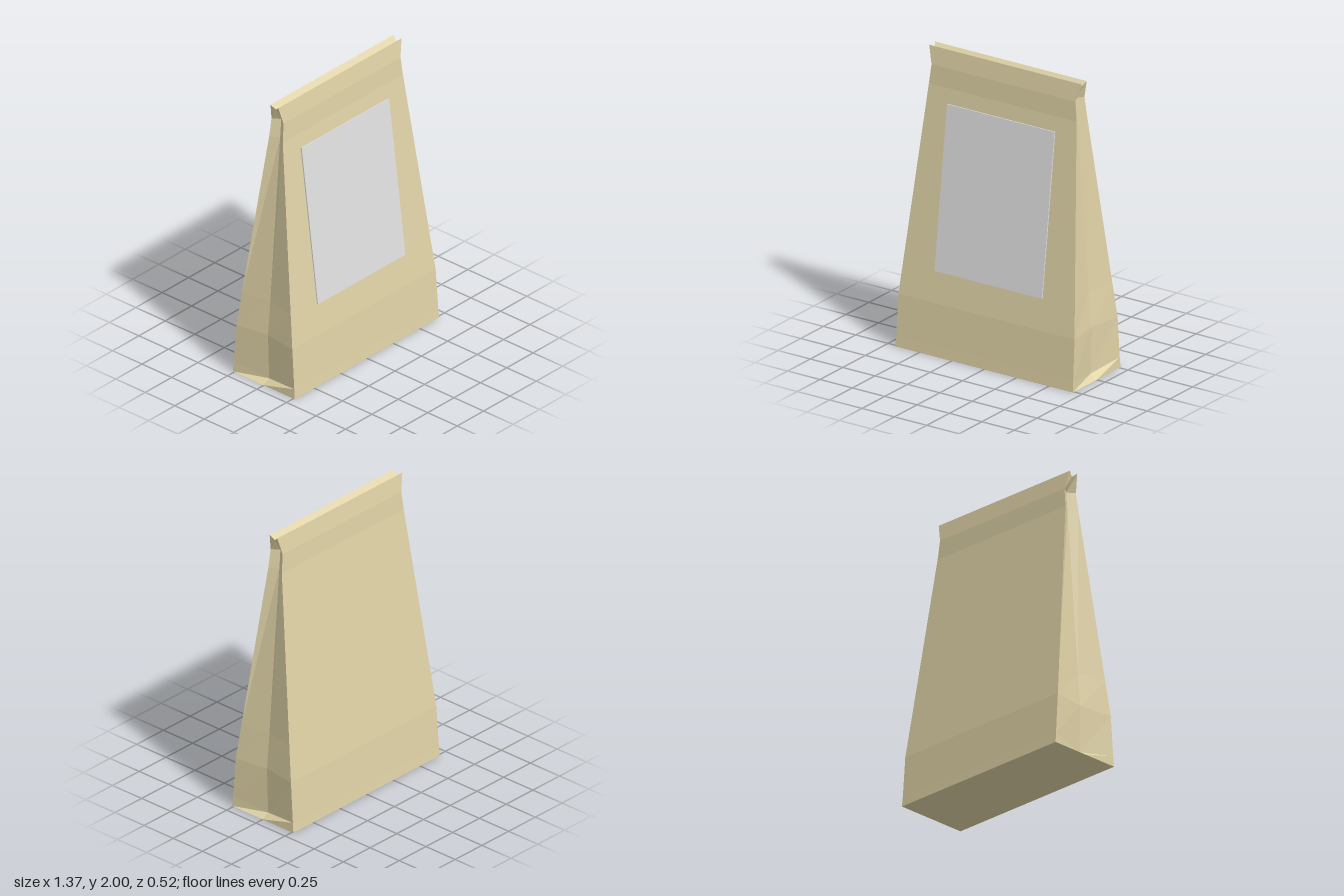
import * as THREE from 'three';

// Cross-sections from the base up:
// corner height, half width, half depth, gusset crease height, gusset crease x
const SECTIONS = [
  [0, 0.685, 0.262, 0, 0.685],
  [0.07, 0.683, 0.256, 0.03, 0.635],
  [0.35, 0.68, 0.237, 0.35, 0.645],
  [0.59, 0.661, 0.206, 0.59, 0.623],
  [1.75, 0.57, 0.058, 1.75, 0.53],
  [1.88, 0.555, 0.051, 1.88, 0.52],
  [2, 0.585, 0.033, 1.97, 0.57],
];

// Six points per section, anticlockwise from above, with a crease on each side
function ring([y, w, d, creaseY, creaseX]) {
  return [
    [w, y, d], [creaseX, creaseY, 0], [w, y, -d],
    [-w, y, -d], [-creaseX, creaseY, 0], [-w, y, d],
  ];
}

function quad(out, a, b, c, d) {
  out.push(...a, ...b, ...c, ...a, ...c, ...d);
}

function facetedMesh(name, positions, material) {
  const geometry = new THREE.BufferGeometry();
  geometry.setAttribute('position', new THREE.Float32BufferAttribute(positions, 3));
  geometry.computeVertexNormals();
  const mesh = new THREE.Mesh(geometry, material);
  mesh.name = name;
  return mesh;
}

export function createModel() {
  const group = new THREE.Group();
  group.name = 'paperBag';
  const paper = new THREE.MeshStandardMaterial({ color: 0xdfd2a6 });
  paper.name = 'tan paper';
  const white = new THREE.MeshStandardMaterial({ color: 0xdfdfdf });
  white.name = 'pale label';

  // Walls with folded side gussets
  const rings = SECTIONS.map(ring);
  const walls = [];
  for (let i = 0; i < rings.length - 1; i++) {
    for (let j = 0; j < 6; j++) {
      const k = (j + 1) % 6;
      quad(walls, rings[i][j], rings[i][k], rings[i + 1][k], rings[i + 1][j]);
    }
  }
  group.add(facetedMesh('bagWalls', walls, paper));

  // Flat base
  const b = rings[0];
  const base = [];
  quad(base, b[5], b[4], b[1], b[0]);
  quad(base, b[4], b[3], b[2], b[1]);
  group.add(facetedMesh('bagBase', base, paper));

  // Shallow V between the two lips of the mouth
  const t = rings[rings.length - 1];
  const mouth = [];
  quad(mouth, t[0], t[1], t[4], t[5]);
  quad(mouth, t[1], t[2], t[3], t[4]);
  group.add(facetedMesh('bagMouth', mouth, paper));

  // Thin label lying on the sloping front
  const low = new THREE.Vector2(0.209, 0.56);
  const high = new THREE.Vector2(0.071, 1.65);
  const slope = Math.atan2(low.x - high.x, high.y - low.y);
  const thickness = 0.009;
  const label = new THREE.Mesh(new THREE.BoxGeometry(0.83, low.distanceTo(high), thickness), white);
  label.name = 'frontLabel';
  label.rotation.x = -slope;
  label.position.set(0, (low.y + high.y) / 2, (low.x + high.x) / 2 + thickness / 2);
  group.add(label);

  return group;
}
